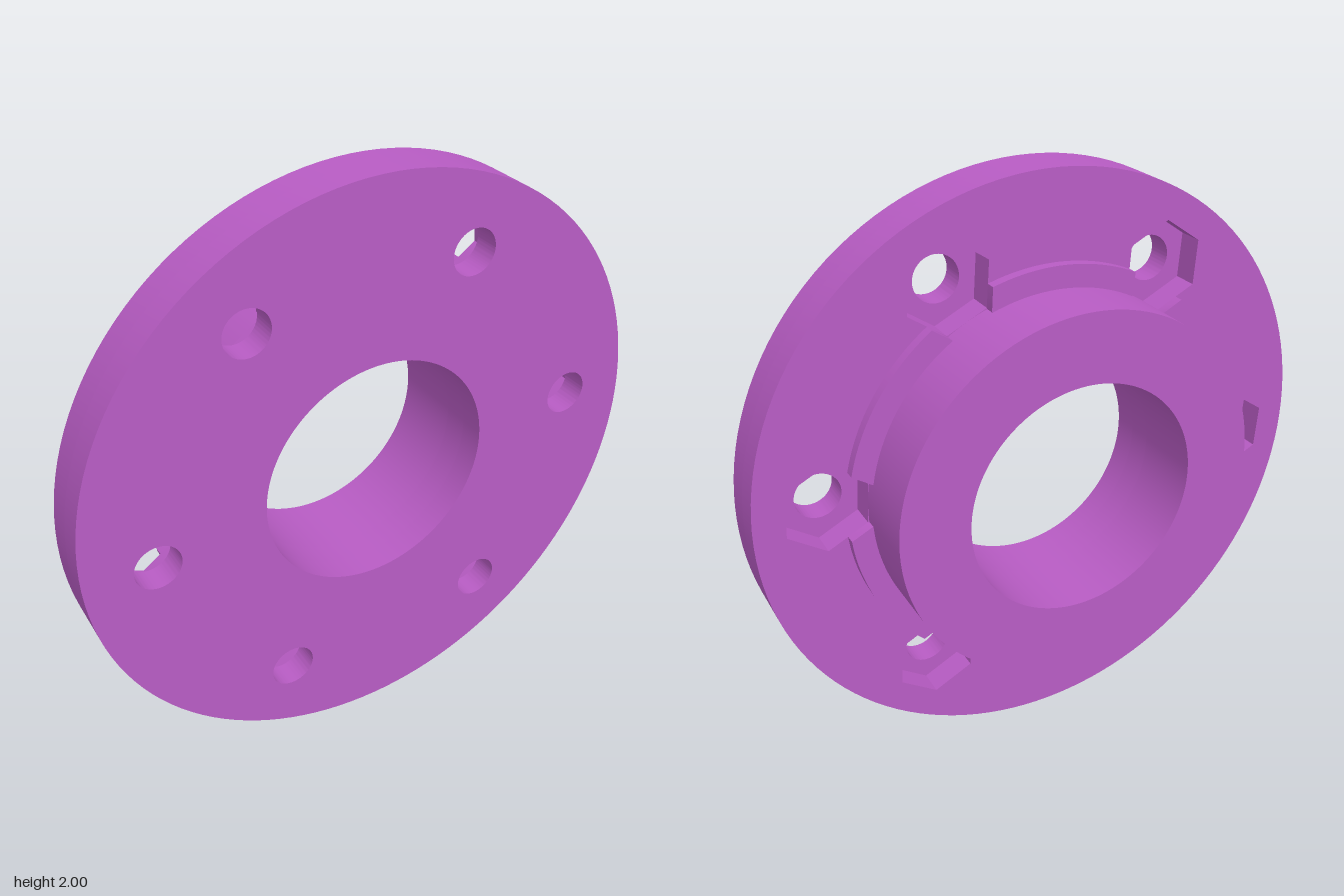
import * as THREE from 'three';
import { toCreasedNormals } from 'three/addons/utils/BufferGeometryUtils.js';

const BORE = 0.4, HUB = 0.635, SHOULDER = 0.71, RIM = 1;
const BOLT_CIRCLE = 0.765, BOLT = 0.077, NUT = 0.15;
const START = THREE.MathUtils.degToRad(4.6), STEP = Math.PI / 3;
const boltAngles = Array.from({ length: 6 }, (_, i) => START + i * STEP);

const polar = (r, a) => new THREE.Vector2(r * Math.cos(a), r * Math.sin(a));

function circle(r, Type = THREE.Path) {
  return new Type().absarc(0, 0, r, 0, Math.PI * 2, false);
}

// Flat ring with the central bore and optional further holes
function ring(radius, holes = []) {
  const shape = circle(radius, THREE.Shape);
  shape.holes.push(circle(BORE), ...holes);
  return shape;
}

function boltHole(a) {
  const c = polar(BOLT_CIRCLE, a);
  return new THREE.Path().absarc(c.x, c.y, BOLT, 0, Math.PI * 2, false);
}

// Hexagon with one flat side turned to the hub
function nutPocket(a) {
  const c = polar(BOLT_CIRCLE, a);
  const corners = Array.from({ length: 6 }, (_, k) =>
    polar(NUT, a + Math.PI / 6 + k * STEP).add(c));
  return new THREE.Path(corners);
}

// Piece of the shoulder between two neighbouring nut pockets
function shoulderPiece(a) {
  const outer = Math.asin(0.1125 / SHOULDER);
  const inner = Math.atan2(NUT / 2, HUB);
  const cornerRadius = Math.hypot(NUT / 2, HUB);
  const shape = new THREE.Shape();
  shape.absarc(0, 0, SHOULDER, a + outer, a + STEP - outer, false);
  const p = polar(cornerRadius, a + STEP - inner);
  shape.lineTo(p.x, p.y);
  shape.absarc(0, 0, 0.6, a + STEP - inner, a + inner, true);
  const q = polar(cornerRadius, a + inner);
  shape.lineTo(q.x, q.y);
  return shape;
}

export function createModel() {
  const model = new THREE.Group();
  model.name = 'flange';
  const material = new THREE.MeshStandardMaterial({ color: 0xb85cc4 });

  function addLayer(name, shape, zBack, zFront) {
    const geometry = new THREE.ExtrudeGeometry(shape, {
      depth: zFront - zBack, bevelEnabled: false, curveSegments: 64,
    });
    geometry.translate(0, 1, zBack);
    const mesh = new THREE.Mesh(toCreasedNormals(geometry, 0.5), material);
    mesh.name = name;
    model.add(mesh);
  }

  // Disc: round bolt holes in front, hexagonal nut pockets behind
  addLayer('frontDisc', ring(RIM, boltAngles.map(boltHole)), 0.125, 0.215);
  addLayer('pocketDisc', ring(RIM, boltAngles.map(nutPocket)), 0.035, 0.125);

  // Low shoulder interrupted by the pockets
  addLayer('shoulder', boltAngles.map(shoulderPiece), 0, 0.035);

  // Hub around the bore
  addLayer('hub', ring(HUB), -0.215, 0.035);

  return model;
}
